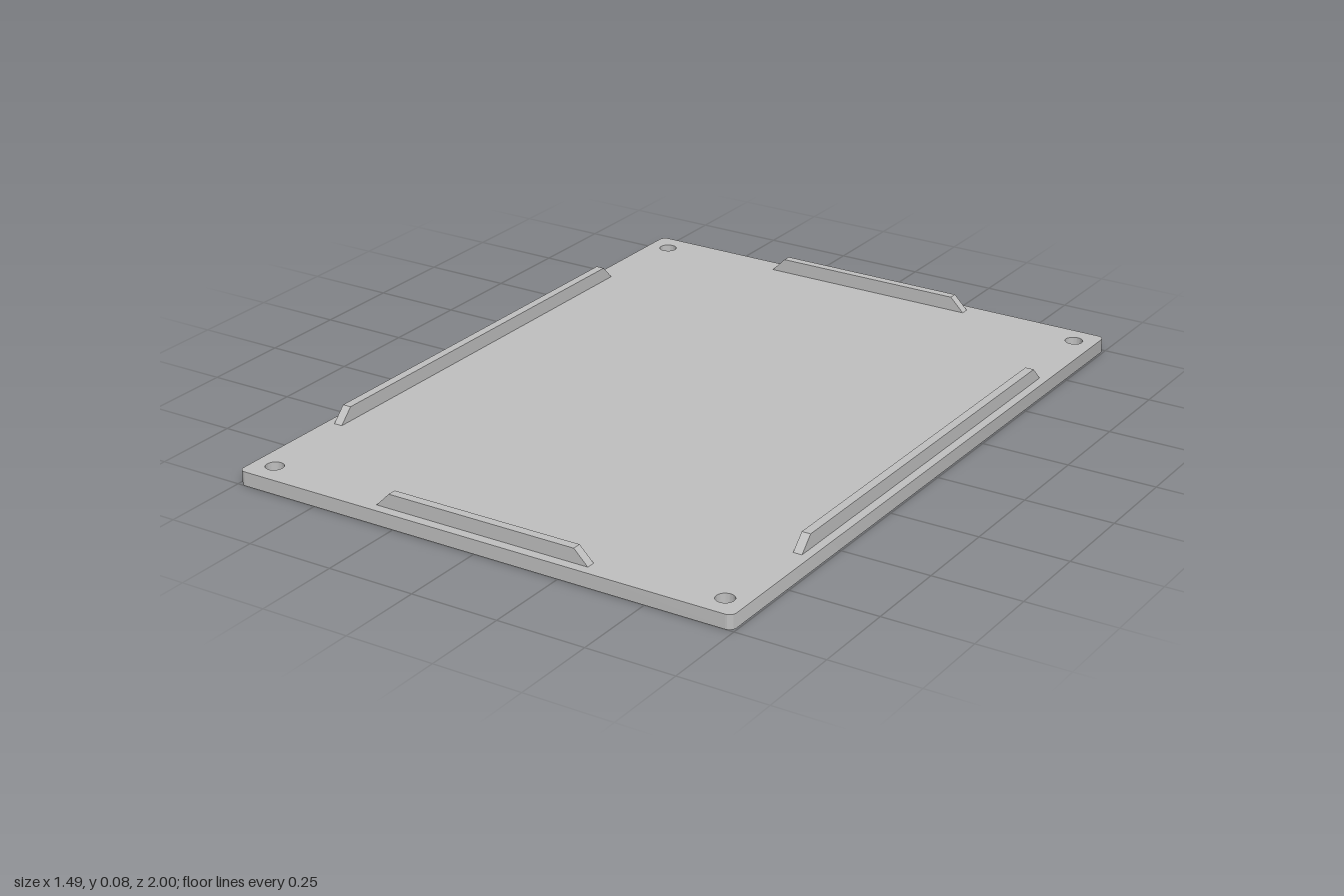
import * as THREE from 'three';
import { toCreasedNormals } from 'three/addons/utils/BufferGeometryUtils.js';

const HALF_X = 0.745, HALF_Z = 1, THICK = 0.04, CORNER = 0.02;
const RIB_W = 0.025, RIB_H = 0.04;

// Rounded rectangular plate with a screw hole in each corner
function plateGeometry() {
  const s = new THREE.Shape();
  const x = HALF_X - CORNER, y = HALF_Z - CORNER;
  s.absarc(x, y, CORNER, 0, Math.PI / 2);
  s.absarc(-x, y, CORNER, Math.PI / 2, Math.PI);
  s.absarc(-x, -y, CORNER, Math.PI, Math.PI * 1.5);
  s.absarc(x, -y, CORNER, Math.PI * 1.5, Math.PI * 2);
  for (const sx of [-1, 1]) {
    for (const sy of [-1, 1]) {
      const hole = new THREE.Path();
      hole.absarc(sx * 0.683, sy * 0.931, 0.025, 0, Math.PI * 2, true);
      s.holes.push(hole);
    }
  }
  const g = new THREE.ExtrudeGeometry(s, { depth: THICK, bevelEnabled: false, curveSegments: 16 });
  g.rotateX(-Math.PI / 2);
  return toCreasedNormals(g, 0.6);
}

// Trapezoidal locating rib with 45 degree ends, running along x
function ribGeometry(halfLength) {
  const top = halfLength - RIB_H;
  const s = new THREE.Shape([
    new THREE.Vector2(-halfLength, 0),
    new THREE.Vector2(halfLength, 0),
    new THREE.Vector2(top, RIB_H),
    new THREE.Vector2(-top, RIB_H),
  ]);
  const g = new THREE.ExtrudeGeometry(s, { depth: RIB_W, bevelEnabled: false });
  g.translate(0, 0, -RIB_W / 2);
  return g;
}

export function createModel() {
  const group = new THREE.Group();
  group.name = 'coverPlate';
  const grey = new THREE.MeshStandardMaterial({ color: 0xc0c0c0 });
  grey.name = 'light grey';

  const add = (name, geometry, x = 0, y = 0, z = 0, turn = 0) => {
    const mesh = new THREE.Mesh(geometry, grey);
    mesh.name = name;
    mesh.position.set(x, y, z);
    mesh.rotation.y = turn;
    group.add(mesh);
  };

  add('plate', plateGeometry());

  // Short ribs at front and back, long ribs at the sides
  const shortRib = ribGeometry(0.32), longRib = ribGeometry(0.64);
  add('frontRib', shortRib, 0, THICK, 0.96);
  add('backRib', shortRib, 0, THICK, -0.96);
  add('leftRib', longRib, 0.708, THICK, 0, Math.PI / 2);
  add('rightRib', longRib, -0.708, THICK, 0, Math.PI / 2);

  return group;
}
